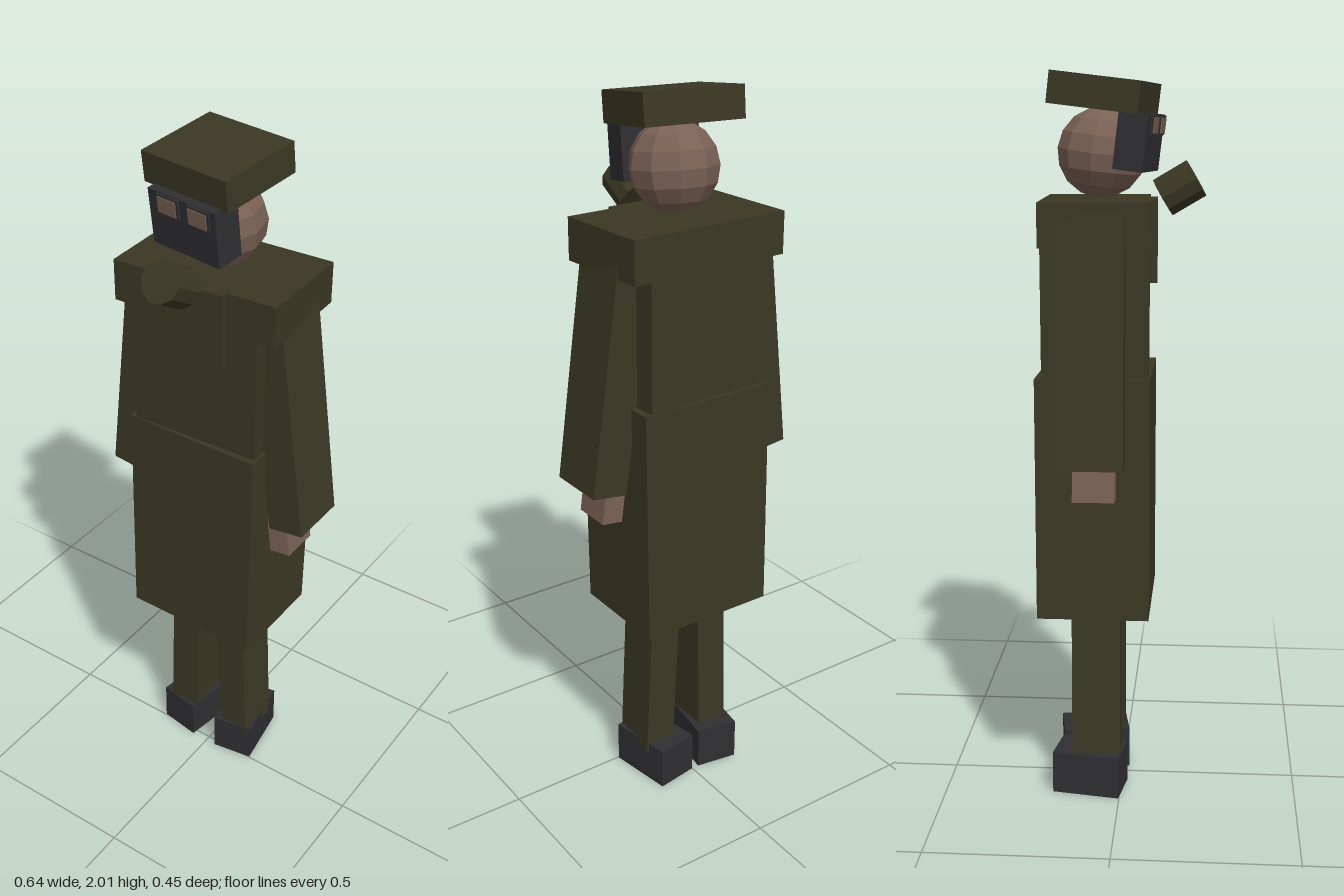
import * as THREE from 'three';

export function createModel() {
  const mat = (name, color) => {
    const m = new THREE.MeshStandardMaterial({ color, flatShading: true });
    m.name = name;
    return m;
  };
  const olive = mat('olive cloth', 0x3a3823);
  const dark = mat('dark rubber', 0x2f2f32);
  const skin = mat('skin', 0x7a6154);

  const model = new THREE.Group();
  model.name = 'soldier';

  const add = (parent, name, geometry, material, pos, rot = [0, 0, 0]) => {
    const mesh = new THREE.Mesh(geometry, material);
    mesh.name = name;
    mesh.position.set(...pos);
    mesh.rotation.set(...rot);
    parent.add(mesh);
    return mesh;
  };
  const box = (parent, name, size, material, pos, rot) =>
    add(parent, name, new THREE.BoxGeometry(...size), material, pos, rot);

  // Coat: skirt, then the slightly turned upper body
  box(model, 'coatSkirt', [0.4, 0.665, 0.306], olive, [-0.008, 0.883, -0.069], [0, 0, -0.013]);
  const torso = new THREE.Group();
  torso.name = 'upperBody';
  torso.position.set(-0.006, 0, -0.069);
  torso.rotation.y = 0.042;
  model.add(torso);
  box(torso, 'coatBody', [0.375, 0.5, 0.284], olive, [0, 1.42, 0]);
  box(torso, 'shoulderCape', [0.48, 0.115, 0.288], olive, [0, 1.6225, 0]);
  box(torso, 'chestFlap', [0.222, 0.215, 0.03], olive, [-0.011, 1.5725, 0.149]);

  // Arms hang from the shoulders, flaring outwards
  const limbs = [
    { side: 'left', bottom: [0.265, 0.978], tilt: 0.137, hand: [0.228, 0.932] },
    { side: 'right', bottom: [-0.27, 0.993], tilt: -0.113, hand: [-0.242, 0.955] },
  ];
  for (const { side, bottom, tilt, hand } of limbs) {
    const len = 0.66;
    box(model, side + 'Arm', [0.103, len, 0.174], olive, [
      bottom[0] - Math.sin(tilt) * len / 2,
      bottom[1] + Math.cos(tilt) * len / 2, -0.067], [0, 0, tilt]);
    box(model, side + 'Hand', [0.062, 0.11, 0.112], skin, [hand[0], hand[1], -0.06], [0, 0, tilt]);
  }

  // Legs and turned-out boots
  for (const [side, x, tilt, bootX, s] of [
    ['left', 0.08, 0.045, 0.077, 1], ['right', -0.09, -0.025, -0.098, -1]]) {
    box(model, side + 'Leg', [0.093, 0.56, 0.136], olive, [x, 0.37, -0.067], [0, 0, tilt]);
    box(model, side + 'Boot', [0.124, 0.122, 0.192], dark, [bootX, 0.061, -0.087], [0, 0.16 * s, 0]);
  }

  // Head, turned and nodding slightly, with mask and cap
  const head = new THREE.Group();
  head.name = 'head';
  head.position.set(-0.005, 1.8, -0.055);
  head.rotation.set(0.12, -0.147, 0, 'YXZ');
  model.add(head);
  add(head, 'face', new THREE.SphereGeometry(0.12, 10, 8), skin, [0, 0, 0]);
  box(head, 'mask', [0.222, 0.15, 0.08], dark, [0.006, 0.041, 0.095]);
  box(head, 'cap', [0.277, 0.083, 0.243], olive, [-0.001, 0.153, -0.01]);
  for (const x of [-0.036, 0.065]) {
    box(head, 'eyeFrame', [0.072, 0.052, 0.009], dark, [x, 0.088, 0.138]);
    box(head, 'eyeLens', [0.06, 0.042, 0.006], skin, [x, 0.088, 0.142]);
  }

  // Filter canister in front of the mask, end cap facing up and forward
  add(model, 'filterCanister', new THREE.CylinderGeometry(0.056, 0.056, 0.103, 10), olive,
    [-0.006, 1.708, 0.153], [Math.PI / 2 - 0.53, 0, 0])
    .geometry.rotateY(Math.PI / 10 * 5);

  return model;
}
